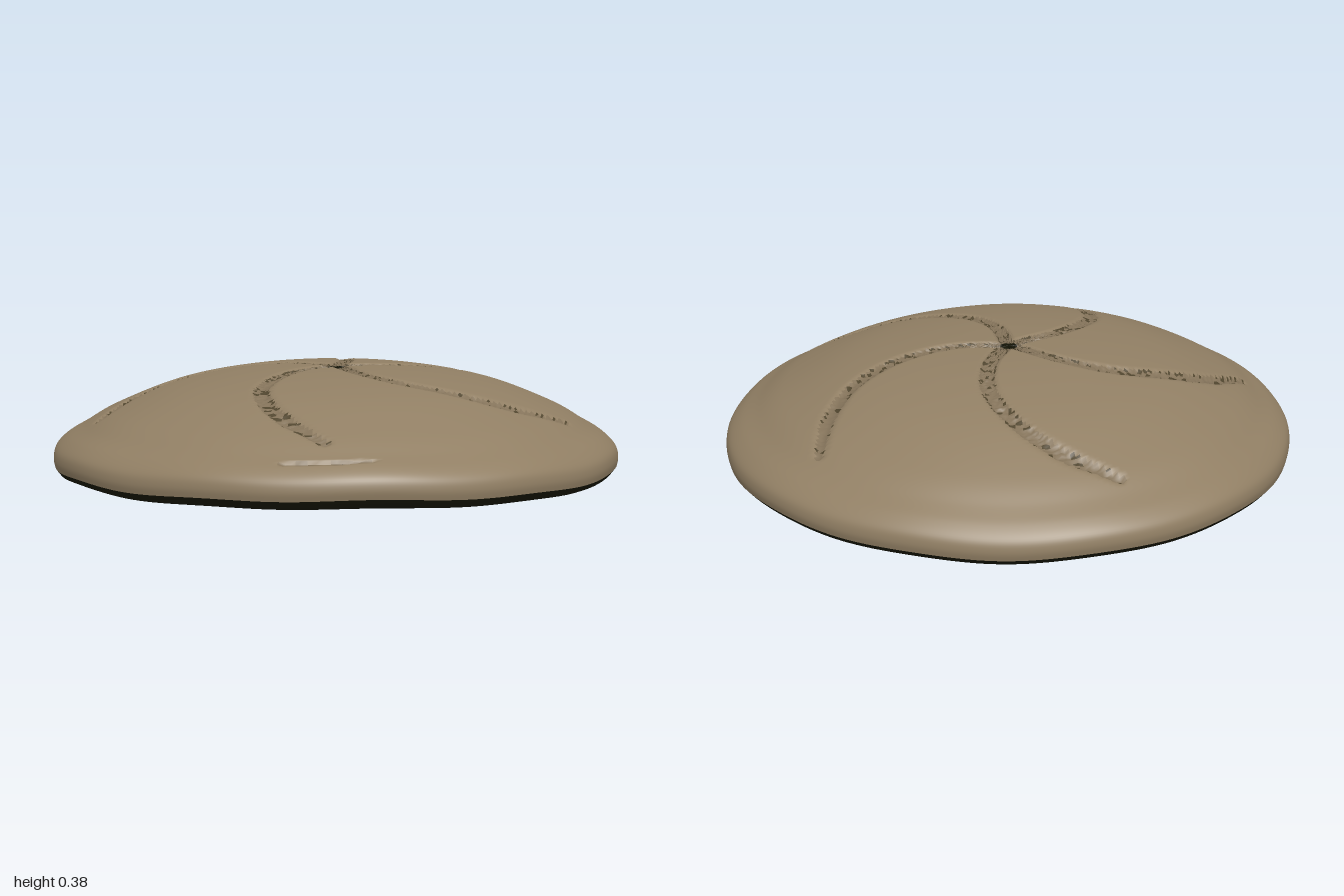
import * as THREE from 'three';

const SEGMENTS = 320;

// Repeatable value from 0 to 1
const hash = (i, j) => {
  const s = Math.sin(i * 127.1 + j * 311.7) * 43758.5453;
  return s - Math.floor(s);
};

// Smooth path on the top, given as [x, z] points, with a half-width
const path = (width, ...points) => ({
  width,
  samples: new THREE.CatmullRomCurve3(points.map(([x, z]) => new THREE.Vector3(x, 0, z))).getSpacedPoints(90),
});

const cuts = [
  // five curved scores
  path(0.035, [0.01, -0.02], [0.035, -0.2], [0, -0.4], [-0.12, -0.57], [-0.28, -0.67], [-0.47, -0.71]),
  path(0.035, [0.02, -0.01], [0.2, -0.05], [0.38, -0.17], [0.49, -0.33], [0.53, -0.5], [0.52, -0.68]),
  path(0.035, [0.01, 0.02], [0.08, 0.19], [0.2, 0.31], [0.37, 0.37], [0.55, 0.375], [0.79, 0.28]),
  path(0.035, [-0.01, 0.01], [-0.16, 0.18], [-0.24, 0.4], [-0.21, 0.58], [-0.13, 0.72], [-0.02, 0.84]),
  path(0.035, [-0.01, -0.01], [-0.2, -0.11], [-0.38, -0.13], [-0.55, -0.07], [-0.7, 0.04], [-0.82, 0.21]),
  // small crease near the front rim
  path(0.008, [-0.15, 0.92], [0, 0.93], [0.13, 0.915]),
];

// 0 outside the cuts, rising to 1 along their middle
function cutAt(x, z) {
  let best = 0;
  for (const { width, samples } of cuts) {
    samples.forEach((p, k) => {
      const w = width * (k > 72 ? 1 - (k - 72) / 36 : 1);
      const dx = x - p.x, dz = z - p.z;
      if (Math.abs(dx) < w && Math.abs(dz) < w) best = Math.max(best, 1 - Math.hypot(dx, dz) / w);
    });
  }
  return best;
}

// The whole loaf leans: the front rim lifts, the back rim sinks a little
const lean = (z) => (z > 0 ? 0.038 * z * z : -0.014 * z ** 4);

// Revolved surface from profile rows, with cuts pressed into the upper side
function revolve(rows, carved, materials) {
  const positions = [], depth = [], n = SEGMENTS;
  rows.forEach((row, i) => {
    const rim = row.x ** 6;
    for (let j = 0; j < n; j++) {
      const a = (j / n) * Math.PI * 2;
      // the rim bulges a little at the two back diagonals
      const bulge = Math.cos(a) < 0 ? 0.015 * rim * Math.sin(2 * a) ** 2 : 0;
      const r = row.x * (1 + bulge);
      const x = r * Math.sin(a), z = r * Math.cos(a);
      const cut = carved && row.y > 0.1 ? cutAt(x, z) : 0;
      const wave = rim * (0.003 * Math.sin(5 * a + 1) + 0.003 * Math.sin(11 * a));
      const pressed = Math.min(1, cut * 2) * (0.007 + 0.009 * hash(i, j));
      positions.push(x, Math.max(0, row.y + lean(z) + wave - pressed), z);
      depth.push(cut);
    }
  });

  // Sort the faces by colour: skin, cut, dark crack, middle dimple
  const faces = [[], [], [], []];
  for (let i = 0; i < rows.length - 1; i++) {
    for (let j = 0; j < n; j++) {
      const k = (j + 1) % n;
      const a = i * n + j, b = a + n, c = (i + 1) * n + k, d = i * n + k;
      const cut = (depth[a] + depth[b] + depth[c] + depth[d]) / 4;
      let kind = 0;
      if (cut > 0.24) kind = hash(j >> 1, i >> 1) > (cut < 0.42 ? 0.66 : 0.88) ? 2 : 1;
      if (carved && rows[i].x < 0.026) kind = 3;
      if (rows[i].x > 1e-4) faces[kind].push(a, b, d);
      if (rows[i + 1].x > 1e-4) faces[kind].push(b, c, d);
    }
  }
  const geometry = new THREE.BufferGeometry();
  geometry.setAttribute('position', new THREE.Float32BufferAttribute(positions, 3));
  geometry.setIndex(faces.flat());
  let start = 0;
  faces.forEach((list, m) => {
    if (list.length) geometry.addGroup(start, list.length, m);
    start += list.length;
  });
  geometry.computeVertexNormals();
  return new THREE.Mesh(geometry, materials);
}

const profile = (count, points) =>
  new THREE.SplineCurve(points.map(([r, y]) => new THREE.Vector2(r, y))).getSpacedPoints(count)
    .map((p) => new THREE.Vector2(Math.max(0, p.x), p.y));

export function createModel() {
  const material = (name, color) => {
    const m = new THREE.MeshStandardMaterial({ color });
    m.name = name;
    return m;
  };
  const crust = material('crust tan', 0x917f64);
  const score = material('score brown', 0x84735a);
  const crack = material('crack dark brown', 0x51462f);
  const base = material('base dark olive', 0x191907);

  const model = new THREE.Group();
  model.name = 'scoredBun';

  // Domed top with a slight shelf above the rounded rim
  const top = revolve(profile(150, [
    [0, 0.385], [0.2, 0.382], [0.4, 0.36], [0.6, 0.316], [0.8, 0.236],
    [0.9, 0.178], [0.955, 0.146], [0.99, 0.113], [1, 0.078], [0.996, 0.049],
  ]), true, [crust, score, crack, base]);
  top.name = 'crust';

  // Dark underside, rolled up to the rim and slightly hollow in the middle
  const bottom = revolve(profile(40, [
    [0.996, 0.049], [0.98, 0.029], [0.94, 0.017], [0.87, 0.019], [0.7, 0.033], [0.4, 0.048], [0, 0.055],
  ]), false, [base]);
  bottom.name = 'base';

  model.add(top, bottom);
  return model;
}
